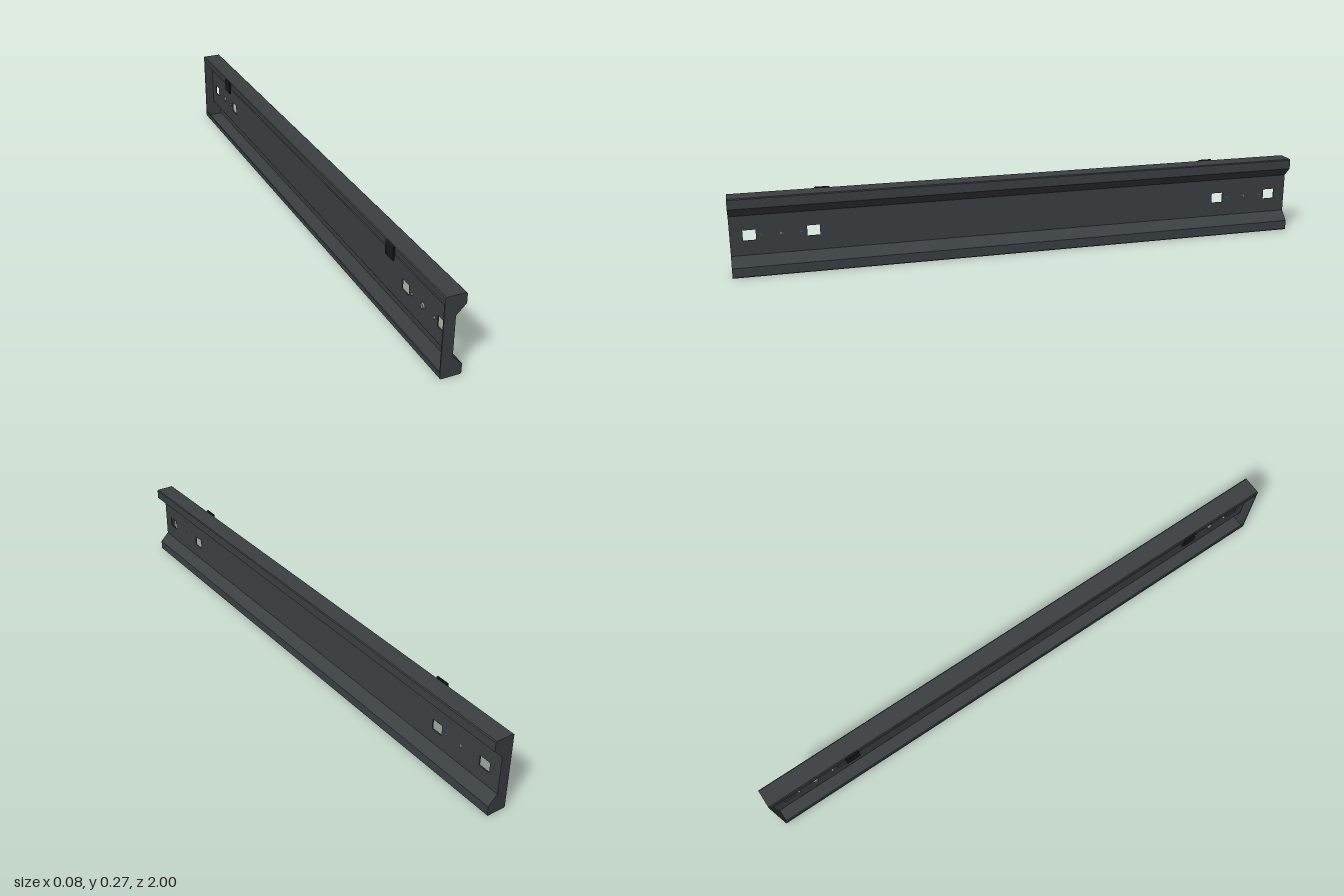
import * as THREE from 'three';
import { RoundedBoxGeometry } from 'three/addons/geometries/RoundedBoxGeometry.js';

const H = 0.27, T = 0.004, LEN = 2;
const steel = new THREE.MeshStandardMaterial({ color: 0x3b4043 });
const black = new THREE.MeshStandardMaterial({ color: 0x17191b });
const metal = new THREE.MeshStandardMaterial({ color: 0x7c8185 });

const toShape = (pts) => new THREE.Shape(pts.map(([x, y]) => new THREE.Vector2(x, y)));
const flip = (pts) => pts.map(([x, y]) => [x, H - y]).reverse();

// Outer outline of the upper half: web, slope, flange, top and rear edge
const outer = [[0.005, 0.203], [0.037, 0.235], [0.037, 0.267], [0.034, H], [-0.029, H], [-0.032, 0.267]];
// Inner side of the folded sheet, starting at the rear lip
const inner = [[-0.032, 0.25], [-0.028, 0.25], [-0.028, 0.266], [0.033, 0.266], [0.033, 0.237], [0.001, 0.205]];

export function createModel() {
  const model = new THREE.Group();
  const add = (name, geometry, material, x = 0, y = 0, z = 0) => {
    const mesh = new THREE.Mesh(geometry, material);
    mesh.name = name;
    mesh.position.set(x, y, z);
    model.add(mesh);
    return mesh;
  };
  const extrude = (shape, depth) => new THREE.ExtrudeGeometry(shape, { depth, bevelEnabled: false });

  // Folded flanges along the whole length
  const fold = [...outer, ...inner];
  add('upperFlange', extrude(toShape(fold), LEN), steel, 0, 0, -1);
  add('lowerFlange', extrude(toShape(flip(fold)), LEN), steel, 0, 0, -1);

  // Web with square mounting holes and tiny round holes
  const web = toShape([[-1, 0.066], [1, 0.066], [1, 0.204], [-1, 0.204]]);
  for (const side of [-1, 1]) {
    for (const z of [0.937, 0.729]) {
      const c = side * z, w = 0.021, h = 0.018, y = H / 2;
      web.holes.push(new THREE.Path([[-w, -h], [-w, h], [w, h], [w, -h]]
        .map(([a, b]) => new THREE.Vector2(c + a, y + b))));
    }
  }
  add('web', extrude(web, T).rotateY(Math.PI / 2), steel, 0.001);

  // Closing plates at both ends
  const plate = extrude(toShape([...outer, ...flip(outer)]), T);
  add('frontEndPlate', plate, steel, 0, 0, 1 - T);
  add('backEndPlate', plate, steel, 0, 0, -1);

  for (const side of [-1, 1]) {
    // Studs between the mounting holes, heads on the hollow side
    for (const [z, r] of [[0.9, 0.005], [0.835, 0.01], [0.77, 0.005]]) {
      const head = new THREE.CylinderGeometry(r, r * 0.8, 0.006, 16).rotateZ(-Math.PI / 2);
      add('studHead', head, metal, -0.002, H / 2, side * z);
      const tip = new THREE.CylinderGeometry(r * 0.4, r * 0.4, 0.005, 12).rotateZ(Math.PI / 2);
      add('studTip', tip, metal, 0.003, H / 2, side * z);
    }
    // Clips over the rear upper edge
    add('clip', new RoundedBoxGeometry(0.007, 0.046, 0.05, 3, 0.002), black, -0.0355, 0.249, side * 0.692);
  }
  return model;
}
